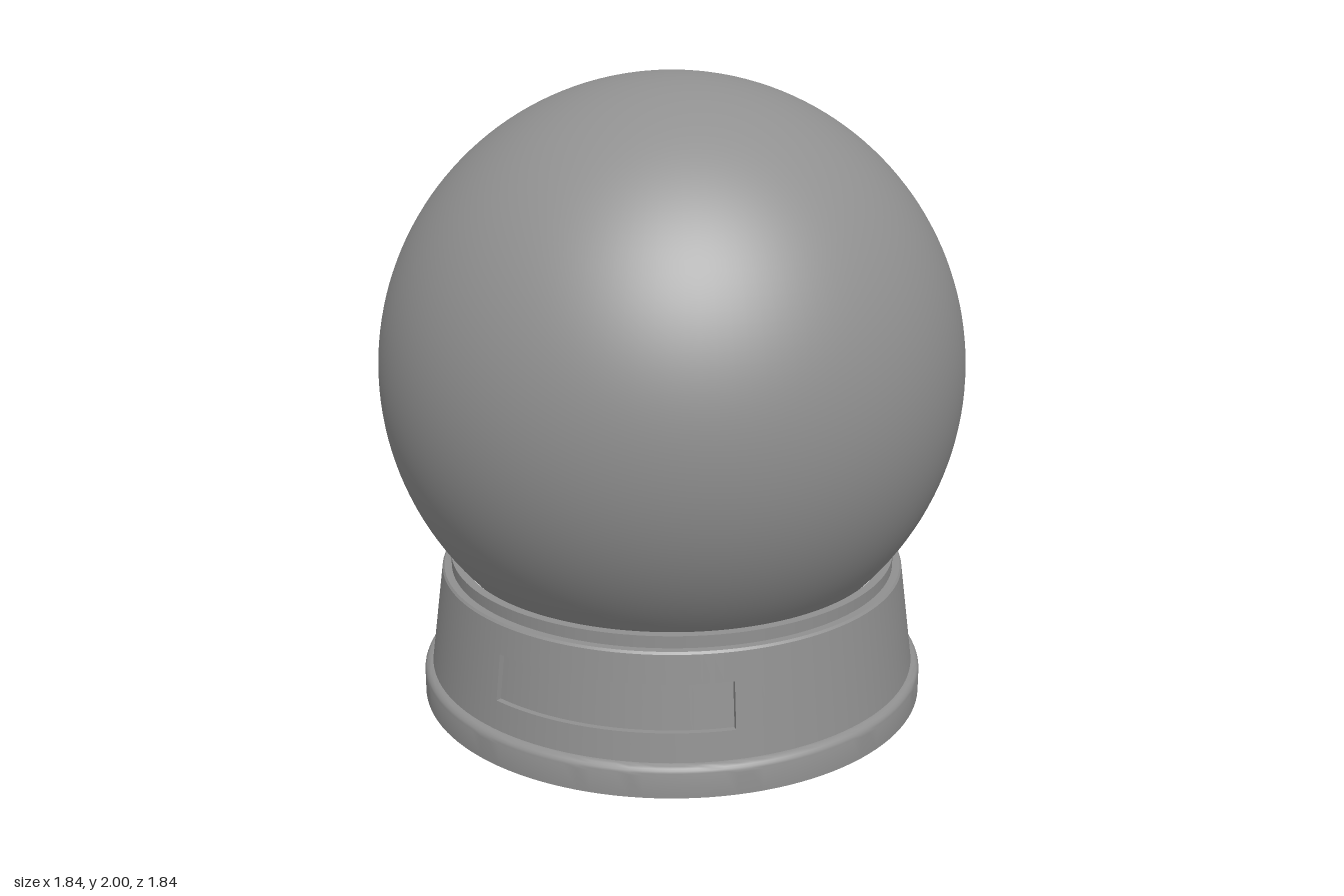
import * as THREE from 'three';
import { mergeGeometries, toCreasedNormals } from 'three/addons/utils/BufferGeometryUtils.js';

const color = 0x909090;
const material = new THREE.MeshStandardMaterial({ color });
const doubleSided = new THREE.MeshStandardMaterial({ color, side: THREE.DoubleSide });

// Turned surface made of straight bands, sharp at every profile point
function bands(points, segments, start = 0, length = Math.PI * 2) {
  const parts = [];
  for (let i = 0; i < points.length - 1; i++) {
    const pair = [points[i], points[i + 1]].map(([r, y]) => new THREE.Vector2(r, y));
    parts.push(new THREE.LatheGeometry(pair, segments, start, length));
  }
  return mergeGeometries(parts);
}

export function createModel() {
  const model = new THREE.Group();
  model.name = 'snowGlobe';
  const add = (name, geometry, mat = material) => {
    const mesh = new THREE.Mesh(geometry, mat);
    mesh.name = name;
    model.add(mesh);
    return mesh;
  };

  // Glass ball, its underside sunk into the base
  add('globe', new THREE.SphereGeometry(0.92, 128, 80)).position.y = 1.08;

  // Foot disc with a rounded upper rim
  const foot = [[0, 0], [0.817, 0]];
  for (let i = 0; i <= 6; i++) {
    const a = (i / 6) * Math.PI / 2;
    foot.push([0.789 + 0.028 * Math.cos(a), 0.072 + 0.028 * Math.sin(a)]);
  }
  foot.push([0.77, 0.1]);
  const footProfile = foot.map(([r, y]) => new THREE.Vector2(r, y));
  add('foot', toCreasedNormals(new THREE.LatheGeometry(footProfile, 128), 0.6));

  // Tapered body: plain around the back, with a nameplate recess at the front
  const radiusAt = (y) => 0.79 - (y - 0.1) * 0.13;
  const half = 0.495, low = 0.19, high = 0.336, depth = 0.018;
  const top = [[radiusAt(0.425), 0.425], [0.742, 0.432], [0.71, 0.432]];
  // The recess ceiling slopes down a little towards its floor
  const recess = [
    [radiusAt(low), low],
    [radiusAt(low) - depth, low],
    [radiusAt(high) - depth, high - 0.007],
    [radiusAt(high), high],
  ];
  add('body', bands([[0.79, 0.1], ...top], 112, half, Math.PI * 2 - 2 * half));
  add('bodyFront', bands([[0.79, 0.1], ...recess, ...top], 24, -half, 2 * half));

  // End walls of the recess
  for (const side of [-1, 1]) {
    const corners = recess.flatMap(([r, y]) => [r * Math.sin(side * half), y, r * Math.cos(half)]);
    const wall = new THREE.BufferGeometry();
    wall.setAttribute('position', new THREE.Float32BufferAttribute(corners, 3));
    wall.setIndex(side > 0 ? [0, 1, 2, 0, 2, 3] : [0, 2, 1, 0, 3, 2]);
    wall.computeVertexNormals();
    add(side > 0 ? 'recessWallLeft' : 'recessWallRight', wall, doubleSided);
  }

  // Collar that holds the ball
  add('collar', bands([[0.718, 0.425], [0.718, 0.47], [0.69, 0.47], [0.68, 0.44]], 128));

  return model;
}
